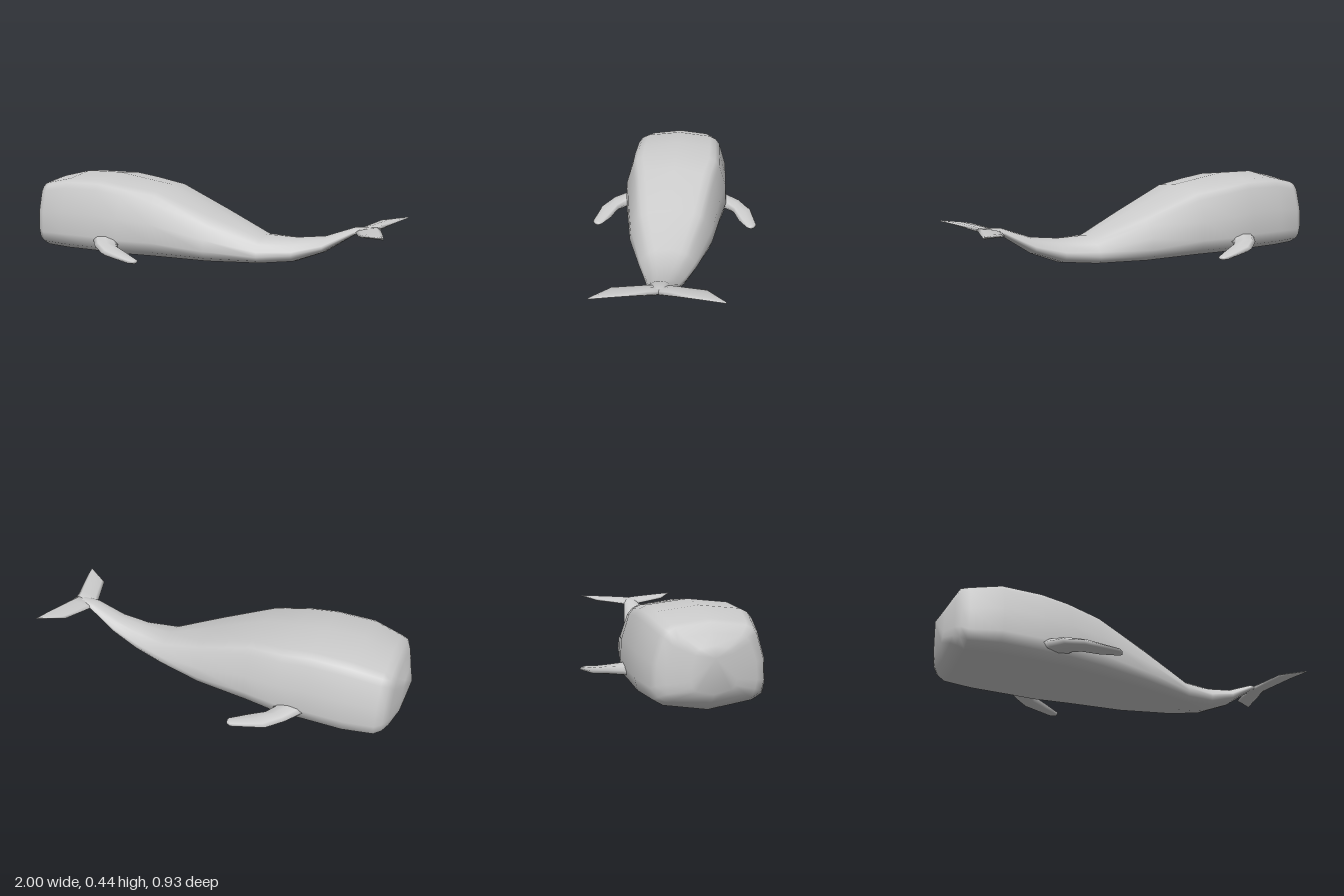
import * as THREE from 'three';

const material = new THREE.MeshStandardMaterial({ color: 0xcccccc });

// Skin a list of equal-sized closed rings, closing both ends with a centre point.
function loft(name, rings, startTip, endTip) {
  const n = rings[0].length;
  const centre = (ring) => ring.reduce((s, p) => s.add(p), new THREE.Vector3()).divideScalar(n);
  const pts = [...rings.flat(), startTip || centre(rings[0]), endTip || centre(rings[rings.length - 1])];
  const a = pts.length - 2, b = pts.length - 1, last = (rings.length - 1) * n;
  const faces = [];
  for (let j = 0; j < n; j++) {
    const k = (j + 1) % n;
    for (let i = 0; i < last; i += n) {
      faces.push([i + j, i + k, i + n + k], [i + j, i + n + k, i + n + j]);
    }
    faces.push([a, k, j], [b, last + j, last + k]);
  }
  // Turn the faces outward whichever way the rings run
  const c = new THREE.Vector3();
  const volume = faces.reduce((v, f) => v + pts[f[0]].dot(c.crossVectors(pts[f[1]], pts[f[2]])), 0);
  if (volume < 0) faces.forEach((f) => f.reverse());

  const geometry = new THREE.BufferGeometry().setFromPoints(pts);
  geometry.setIndex(faces.flat());
  geometry.computeVertexNormals();
  const mesh = new THREE.Mesh(geometry, material);
  mesh.name = name;
  return mesh;
}

// Half cross-sections as [width fraction, height fraction], keel last
const BOXY = [[0, 1], [0.65, 0.95], [0.77, 0.91], [0.85, 0.84], [0.98, 0.55], [1, 0.28], [0.96, 0.15], [0.78, 0.08], [0, 0]];
const ROUND = [[0, 1], [0.4, 0.94], [0.6, 0.86], [0.75, 0.75], [0.96, 0.52], [1, 0.38], [0.9, 0.22], [0.65, 0.09], [0, 0]];

function bodyRing([x, bottom, top, width, round]) {
  const half = BOXY.map(([z, y], i) => new THREE.Vector3(
    x,
    THREE.MathUtils.lerp(bottom, top, THREE.MathUtils.lerp(y, ROUND[i][1], round)),
    width * THREE.MathUtils.lerp(z, ROUND[i][0], round)
  ));
  const other = half.slice(1, -1).reverse().map((p) => new THREE.Vector3(p.x, p.y, -p.z));
  return [...half, ...other];
}

// Flattened oval between a leading and a trailing point
function finRing([lx, ly, lz, tx, ty, tz, thickness]) {
  const lead = new THREE.Vector3(lx, ly, lz), trail = new THREE.Vector3(tx, ty, tz);
  return Array.from({ length: 8 }, (_, i) => {
    const angle = i * Math.PI / 4;
    const p = trail.clone().lerp(lead, 0.5 + 0.5 * Math.cos(angle));
    p.y += thickness * Math.sin(angle);
    return p;
  });
}

export function createModel() {
  const model = new THREE.Group();
  model.name = 'whale';

  // Body stations: x, bottom, top, half width, roundness
  const stations = [
    [-0.975, 0.09, 0.298, 0.1, 0.2],
    [-0.948, 0.05, 0.348, 0.2, 0.1],
    [-0.925, 0.025, 0.39, 0.238, 0],
    [-0.89, 0.002, 0.4, 0.255, 0],
    [-0.74, 0, 0.435, 0.29, 0],
    [-0.54, 0, 0.436, 0.292, 0],
    [-0.4, 0, 0.415, 0.292, 0],
    [-0.22, 0, 0.388, 0.265, 0.15],
    [0.07, 0.003, 0.267, 0.22, 0.4],
    [0.33, 0.015, 0.16, 0.145, 0.8],
    [0.5, 0.036, 0.16, 0.102, 1],
    [0.65, 0.098, 0.18, 0.076, 1],
    [0.8, 0.2, 0.238, 0.048, 1],
    [0.88, 0.222, 0.243, 0.03, 1]
  ];
  model.add(loft('body', stations.map(bodyRing), new THREE.Vector3(-1, 0.25, 0)));

  // Fin stations: leading x y z, trailing x y z, half thickness
  const flipper = [
    [-0.555, 0.108, 0.27, -0.38, 0.098, 0.265, 0.036],
    [-0.53, 0.106, 0.3, -0.39, 0.095, 0.295, 0.03],
    [-0.48, 0.1, 0.37, -0.35, 0.082, 0.338, 0.024],
    [-0.4, 0.082, 0.434, -0.27, 0.066, 0.366, 0.019],
    [-0.23, 0.056, 0.466, -0.2, 0.055, 0.41, 0.011],
    [-0.205, 0.053, 0.452, -0.195, 0.053, 0.425, 0.007]
  ];
  const fluke = [
    [0.78, 0.205, 0, 0.925, 0.24, 0, 0.014],
    [0.812, 0.22, 0.05, 0.935, 0.241, 0.05, 0.014],
    [0.865, 0.236, 0.208, 0.978, 0.248, 0.2, 0.009],
    [0.99, 0.25, 0.285, 1, 0.25, 0.29, 0.004]
  ];
  for (const [side, s] of [['Right', 1], ['Left', -1]]) {
    const mirror = (rows) => rows.map(([a, b, c, d, e, f, t]) => finRing([a, b, c * s, d, e, f * s, t]));
    model.add(loft('flipper' + side, mirror(flipper)));
    model.add(loft('tailFluke' + side, mirror(fluke)));
  }
  return model;
}
